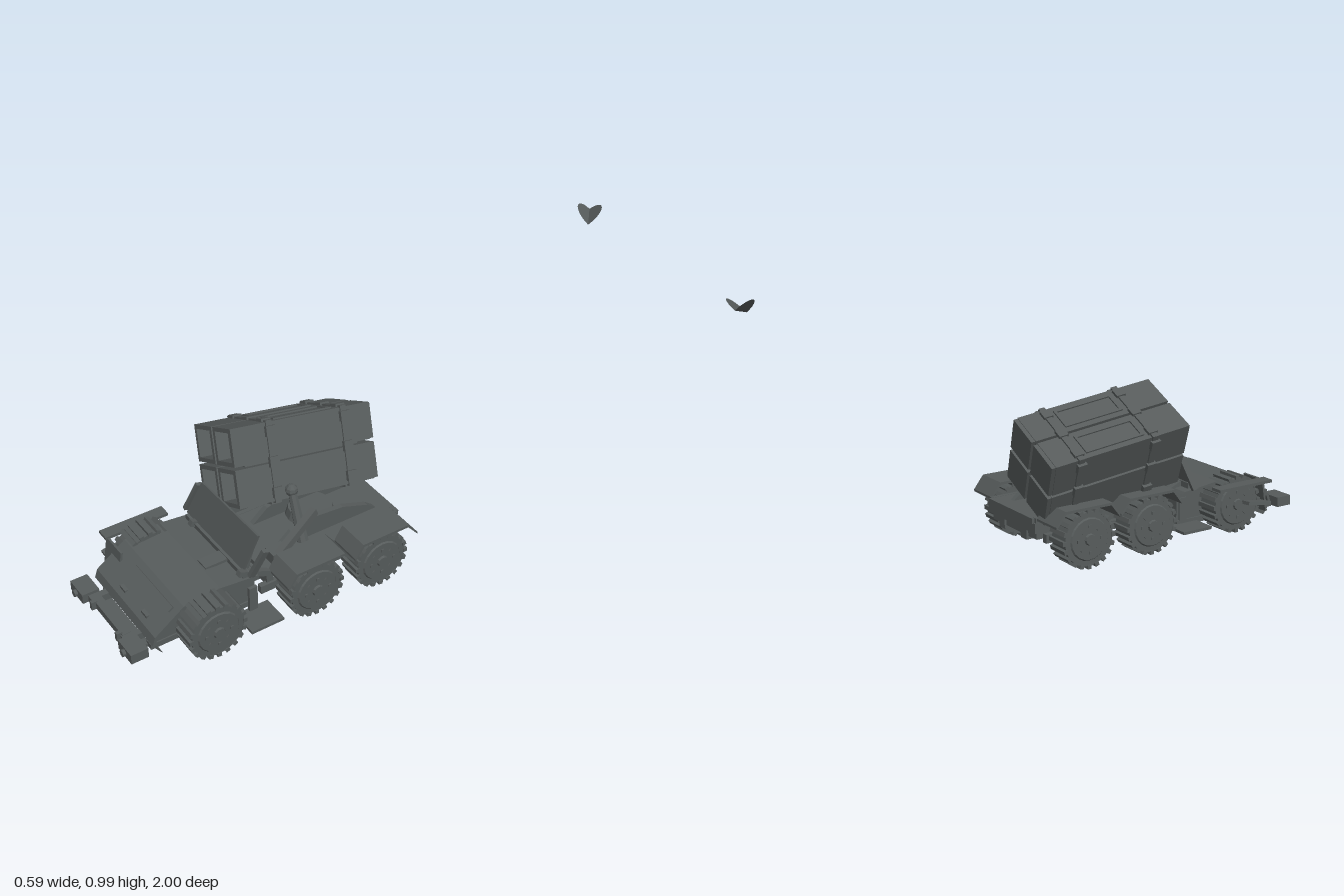
import * as THREE from 'three';

const steel = new THREE.MeshStandardMaterial({ color: 0x565b5b, flatShading: true, side: THREE.DoubleSide });
steel.name = 'dark grey steel';

function add(parent, name, geometry, x = 0, y = 0, z = 0, rx = 0, ry = 0, rz = 0) {
  const mesh = new THREE.Mesh(geometry, steel);
  mesh.name = name;
  mesh.position.set(x, y, z);
  mesh.rotation.set(rx, ry, rz);
  parent.add(mesh);
  return mesh;
}
const box = (w, h, d) => new THREE.BoxGeometry(w, h, d);

function group(parent, name) {
  const g = new THREE.Group();
  g.name = name;
  parent.add(g);
  return g;
}

// Flat outline extruded along z
const slab = (points, depth) => new THREE.ExtrudeGeometry(
  new THREE.Shape(points.map(p => new THREE.Vector2(...p))), { depth, bevelEnabled: false });

// Side outline given as [z, y] points, extruded across x and centred
const sideProfile = (points, width) => slab(points, width).translate(0, 0, -width / 2).rotateY(-Math.PI / 2);

// Square ring extruded along z
function frame(w, h, rim, depth) {
  const rect = (a, b, P) => new P([[-a, -b], [a, -b], [a, b], [-a, b]].map(p => new THREE.Vector2(...p)));
  const shape = rect(w / 2, h / 2, THREE.Shape);
  shape.holes.push(rect(w / 2 - rim, h / 2 - rim, THREE.Path));
  return new THREE.ExtrudeGeometry(shape, { depth, bevelEnabled: false });
}

// Lugged wheel with hub and bolts, outer face towards side
function wheel(parent, side, x, y, z) {
  const g = group(parent, 'wheel');
  g.position.set(x, y, z);
  add(g, 'tyre', new THREE.CylinderGeometry(0.094, 0.094, 0.08, 20), 0, 0, 0, 0, 0, Math.PI / 2);
  for (let i = 0; i < 20; i++) {
    const a = i / 20 * Math.PI * 2;
    add(g, 'treadLug', box(0.086, 0.014, 0.015), 0, Math.cos(a) * 0.096, Math.sin(a) * 0.096, a, 0, 0);
  }
  add(g, 'rim', new THREE.CylinderGeometry(0.07, 0.075, 0.006, 20), side * 0.042, 0, 0, 0, 0, -side * Math.PI / 2);
  add(g, 'hub', new THREE.CylinderGeometry(0.018, 0.022, 0.01, 10), side * 0.047, 0, 0, 0, 0, -side * Math.PI / 2);
  for (let i = 0; i < 8; i++) {
    const a = i / 8 * Math.PI * 2;
    add(g, 'wheelBolt', box(0.005, 0.01, 0.01), side * 0.046, Math.cos(a) * 0.045, Math.sin(a) * 0.045, a);
  }
}

function buildTruck(truck) {
  // Wheels and axles
  for (const z of [0.1, 0.355, 0.72]) {
    for (const s of [-1, 1]) wheel(truck, s, s * 0.212, z > 0.7 ? 0.116 : 0.106, z);
    add(truck, 'axle', new THREE.CylinderGeometry(0.014, 0.014, 0.36, 8), 0, 0.105, z, 0, 0, Math.PI / 2);
  }

  // Ladder frame and deck
  for (const s of [-1, 1]) {
    add(truck, 'frameRail', box(0.035, 0.05, 0.92), s * 0.07, 0.11, 0.42);
    add(truck, 'outerRail', box(0.02, 0.03, 0.5), s * 0.138, 0.095, 0.25);
    add(truck, 'deckEdge', box(0.015, 0.04, 0.52), s * 0.142, 0.155, 0.22);
  }
  for (const z of [-0.02, 0.22, 0.46, 0.58, 0.8]) add(truck, 'crossMember', box(0.28, 0.035, 0.025), 0, 0.115, z);
  add(truck, 'deck', box(0.28, 0.018, 0.54), 0, 0.165, 0.22);
  add(truck, 'tailBeam', box(0.3, 0.035, 0.02), 0, 0.14, -0.035);

  // Rear mudguards
  const guard = [[-0.13, 0.165], [-0.09, 0.211], [0.085, 0.211], [0.12, 0.165],
    [0.12, 0.173], [0.09, 0.22], [-0.093, 0.22], [-0.13, 0.173]];
  for (const s of [-1, 1]) for (const z of [0.095, 0.35]) {
    add(truck, 'rearMudguard', sideProfile(guard, 0.12), s * 0.207, 0, z);
  }

  // Front hull: folded plate shell, open below, with side walls
  const outline = [[0.52, 0.185], [0.66, 0.2], [0.79, 0.19], [0.895, 0.115], [0.905, 0.085], [0.88, 0.05]];
  const inner = outline.map(([z, y]) => [z - 0.008, y - 0.008]).reverse();
  add(truck, 'frontHull', sideProfile([...outline, ...inner], 0.385), -0.025, 0, 0);
  for (const s of [-1, 1]) {
    add(truck, 'hullSide', sideProfile([...outline, [0.52, 0.06]], 0.01), s * 0.15 - 0.015, 0, 0);
    add(truck, 'hullSill', box(0.03, 0.02, 0.38), s * 0.145 - 0.015, 0.06, 0.71);
  }
  add(truck, 'firewall', box(0.3, 0.11, 0.01), -0.015, 0.13, 0.525);
  add(truck, 'hullBeam', box(0.3, 0.015, 0.05), -0.015, 0.055, 0.85);
  add(truck, 'floorPanel', box(0.3, 0.008, 0.3), -0.015, 0.14, 0.68);
  add(truck, 'hoodHatch', box(0.05, 0.01, 0.085), 0.04, 0.2, 0.61);
  add(truck, 'grilleSlat', box(0.24, 0.008, 0.02), 0.02, 0.172, 0.82, 0.62);

  for (const s of [-1, 1]) {
    add(truck, 'sideStep', box(0.1, 0.01, 0.12), s * 0.21, 0.053, 0.545);
    add(truck, 'stepHanger', box(0.012, 0.1, 0.03), s * 0.17, 0.1, 0.545);
    add(truck, 'doorPlate', box(0.014, 0.12, 0.022), s * 0.203 - 0.02, 0.25, 0.53, -0.3, 0, -0.28);
    add(truck, 'hullStrut', box(0.02, 0.02, 0.16), s * 0.15, 0.18, 0.51, -0.4);
  }

  // Skewed windscreen plate, leaning back
  add(truck, 'windscreenPlate', slab([[-0.21, 0], [0.143, 0], [0.168, 0.145], [-0.172, 0.138]], 0.008), 0, 0.204, 0.555, -0.3);
  add(truck, 'windscreenSill', box(0.36, 0.02, 0.025), -0.02, 0.198, 0.56);
  for (const s of [-1, 1]) add(truck, 'windscreenBrace', box(0.014, 0.12, 0.014), s * 0.12, 0.25, 0.52, -0.3);

  // Bent front wing scraps on the right
  add(truck, 'bentWing', box(0.09, 0.012, 0.1), -0.25, 0.112, 0.79, 0.15, 0, -0.1);
  add(truck, 'frontMudguard', box(0.1, 0.12, 0.008), -0.212, 0.13, 0.838, -0.15);
  add(truck, 'outerGuard', box(0.045, 0.01, 0.23), -0.275, 0.19, 0.725);

  // Bumper with end pads and tow hooks
  add(truck, 'bumperBar', box(0.2, 0.025, 0.03), -0.025, 0.076, 0.945);
  add(truck, 'bumperPlate', box(0.3, 0.012, 0.05), -0.025, 0.055, 0.92);
  for (const s of [-1, 1]) {
    const x = s * 0.163 - 0.027;
    add(truck, 'bumperPad', box(0.085, 0.035, 0.06), x, 0.08, 0.955);
    add(truck, 'headlamp', new THREE.CylinderGeometry(0.012, 0.012, 0.012, 10), x, 0.08, 0.99, Math.PI / 2);
    add(truck, 'bumperArm', box(0.025, 0.025, 0.09), s * 0.11 - 0.025, 0.075, 0.92);
    add(truck, 'towHook', box(0.014, 0.03, 0.02), s * 0.085 - 0.025, 0.078, 0.965);
  }

  // Launcher turntable, side cheeks and lift arm
  add(truck, 'turntable', new THREE.CylinderGeometry(0.075, 0.085, 0.03, 16), -0.02, 0.187, 0.2);
  for (const s of [-1, 1]) add(truck, 'mountCheek', sideProfile([[0.0, 0.17], [0.4, 0.17], [0.34, 0.22],
    [0.26, 0.245], [0.14, 0.235], [0.04, 0.2]], 0.02), s * 0.075, 0, 0);
  add(truck, 'liftPost', new THREE.CylinderGeometry(0.014, 0.02, 0.18, 8), 0.063, 0.26, 0.305, 0, 0, 0.36);
  add(truck, 'liftPostKnob', new THREE.SphereGeometry(0.022, 8, 6), 0.03, 0.343, 0.305);
  add(truck, 'liftArm', box(0.025, 0.025, 0.2), 0.11, 0.235, 0.34, 0.35, 0.3);
  add(truck, 'liftArmBase', box(0.05, 0.045, 0.06), 0.12, 0.192, 0.42);
  add(truck, 'frontStrut', new THREE.CylinderGeometry(0.01, 0.01, 0.16, 8), -0.08, 0.23, 0.48, 0.4);
}

// Four-cell launcher pod, knocked over to one side
function buildPod(pod) {
  const L = 0.525, pitch = 0.067;
  for (const i of [-1, 1]) for (const j of [-1, 1]) {
    const x = i * pitch, y = j * pitch;
    add(pod, 'launchCell', box(0.124, 0.124, L - 0.06), x, y, -0.015);
    add(pod, 'cellDoorFrame', frame(0.124, 0.124, 0.014, 0.045), x, y, L / 2 - 0.045);
    add(pod, 'cellEndCap', box(0.12, 0.12, 0.03), x, y, -L / 2 + 0.015);
  }
  // Raised panel frames on the upper face
  for (const i of [-1, 1]) {
    add(pod, 'topPanel', frame(0.085, 0.22, 0.01, 0.006), i * pitch, 0.128, -0.015, -Math.PI / 2);
  }
  add(pod, 'podCore', box(0.2, 0.2, L - 0.1));
  // Straps and clips
  for (const z of [0.125, -0.155]) {
    add(pod, 'strap', frame(0.27, 0.27, 0.01, 0.022), 0, 0, z - 0.011);
    for (const s of [-1, 1]) for (const t of [-1, 0, 1]) {
      add(pod, 'sideClip', box(0.014, 0.034, 0.034), s * 0.138, t * 0.1, z);
      add(pod, 'topClip', box(0.034, 0.01, 0.034), t * 0.1, s * 0.135, z);
    }
  }
}

export function createModel() {
  const model = new THREE.Group();
  model.name = 'wreckedLauncherTruck';

  const truck = group(model, 'truck');
  truck.position.set(0.022, 0.004, 0);
  truck.rotation.z = -0.035;
  buildTruck(truck);

  const pod = group(model, 'launcherPod');
  pod.position.set(-0.1, 0.369, 0.215);
  pod.rotation.set(-0.14, -0.06, 0.44, 'YXZ');
  buildPod(pod);

  // Loose cap in the air: a disc folded along its diagonal and tilted down to the front left
  const cap = new THREE.CircleGeometry(0.041, 24).rotateX(-Math.PI / 2);
  const p = cap.attributes.position;
  for (let i = 0; i < p.count; i++) {
    const x = p.getX(i), z = p.getZ(i);
    p.setY(i, Math.abs(x - z) * 0.64 - (x + z) * 0.18);
  }
  cap.computeVertexNormals();
  add(model, 'looseCap', cap, 0.023, 0.946, -0.959);
  return model;
}
